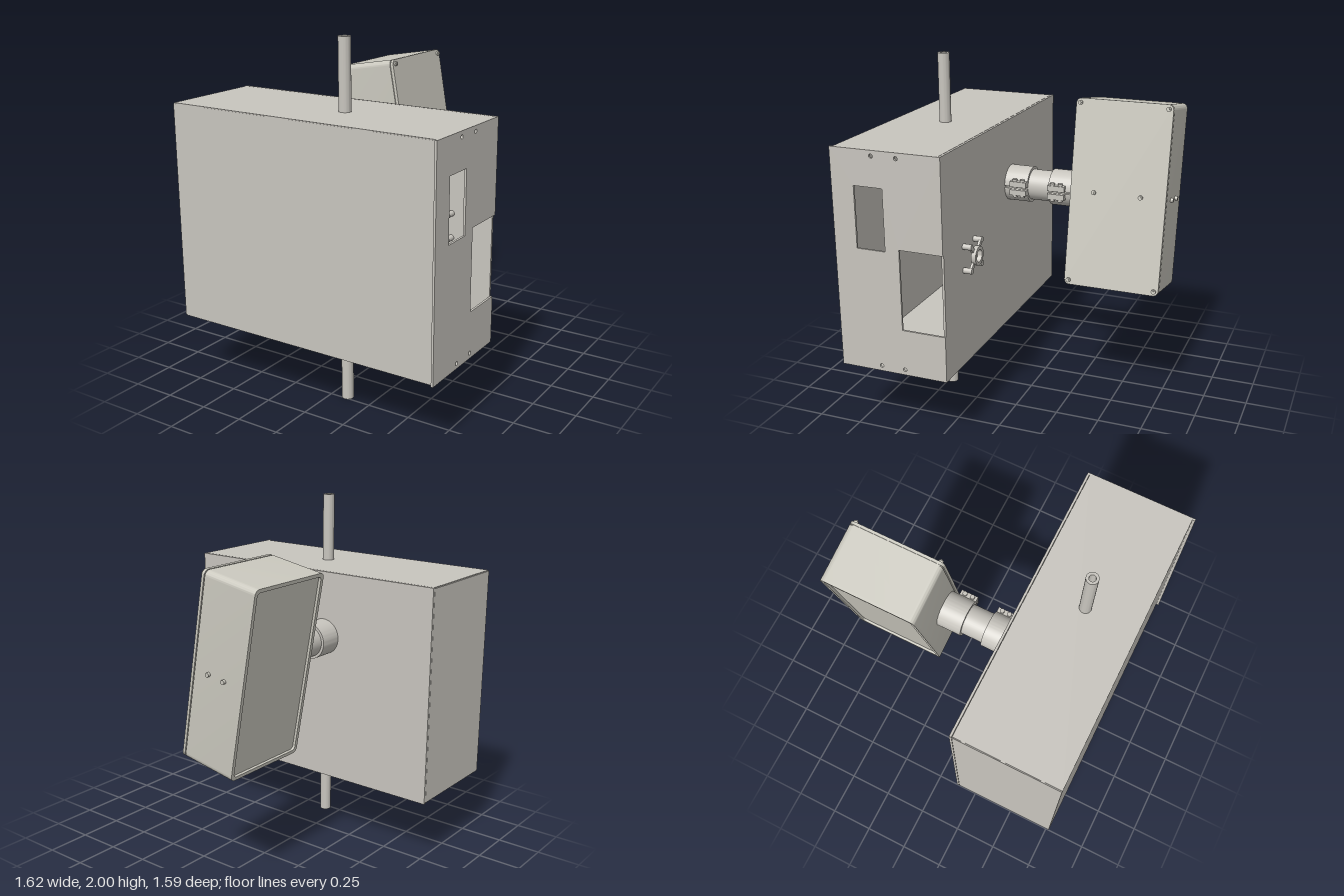
import * as THREE from 'three';
import { toCreasedNormals } from 'three/addons/utils/BufferGeometryUtils.js';

const paint = (name, color) => {
  const m = new THREE.MeshStandardMaterial({ color });
  m.name = name;
  return m;
};

export function createModel() {
  const model = new THREE.Group();
  model.name = 'poleMountedEnclosure';
  const shellGrey = paint('shellGrey', 0xc8c5be);
  const boxGrey = paint('boxGrey', 0xcac8be);

  const add = (parent, name, geo, mat, x = 0, y = 0, z = 0) => {
    const m = new THREE.Mesh(geo, mat);
    m.name = name;
    m.position.set(x, y, z);
    parent.add(m);
    return m;
  };
  // Box given by its limits
  const slab = (parent, name, mat, x0, x1, y0, y1, z0, z1) =>
    add(parent, name, new THREE.BoxGeometry(x1 - x0, y1 - y0, z1 - z0), mat,
      (x0 + x1) / 2, (y0 + y1) / 2, (z0 + z1) / 2);
  // Extrudes a (-z, y) outline along +x
  const alongX = (shape, depth) => toCreasedNormals(
    new THREE.ExtrudeGeometry(shape, { depth, bevelEnabled: false, curveSegments: 8 })
      .rotateY(Math.PI / 2), 0.6);
  const cylX = (r, len, n = 16) => new THREE.CylinderGeometry(r, r, len, n).rotateZ(Math.PI / 2);
  const cylZ = (r, len, n = 16) => new THREE.CylinderGeometry(r, r, len, n).rotateX(Math.PI / 2);
  // Hollow tube around y
  const tube = (ri, ro, len, n = 40) => toCreasedNormals(new THREE.LatheGeometry(
    [[ri, -len / 2], [ro, -len / 2], [ro, len / 2], [ri, len / 2], [ri, -len / 2]]
      .map(([a, b]) => new THREE.Vector2(a, b)), n), 0.6);
  const circle = (x, y, r) => new THREE.Path().absarc(x, y, r, 0, Math.PI * 2, true);
  const roundRect = (Type, w, h, r) => {
    const s = new Type(), a = w / 2 - r, b = h / 2 - r, q = Math.PI / 2;
    s.absarc(a, b, r, 0, q, false);
    s.absarc(-a, b, r, q, 2 * q, false);
    s.absarc(-a, -b, r, 2 * q, 3 * q, false);
    s.absarc(a, -b, r, 3 * q, 4 * q, false);
    s.closePath();
    return s;
  };

  // Hollow sheet-metal cabinet
  const cabinet = new THREE.Group();
  cabinet.name = 'cabinet';
  model.add(cabinet);
  slab(cabinet, 'frontPanel', shellGrey, -0.8, 0.8, 0.395, 1.61, 0.763, 0.775);
  slab(cabinet, 'rightWall', shellGrey, -0.81, -0.8, 0.395, 1.61, 0.18, 0.774);
  slab(cabinet, 'topWall', shellGrey, -0.805, 0.8, 1.605, 1.615, 0.18, 0.774);
  slab(cabinet, 'bottomWall', shellGrey, -0.805, 0.8, 0.39, 0.4, 0.18, 0.774);
  slab(cabinet, 'backPanel', shellGrey, -0.81, 0.8, 0.39, 1.615, 0.165, 0.178);

  // Side wall with a window, a notch open to the back, and screw holes
  const side = new THREE.Shape([
    [-0.79, 0.39], [-0.165, 0.39], [-0.165, 0.65], [-0.415, 0.65],
    [-0.415, 1.1], [-0.165, 1.1], [-0.165, 1.615], [-0.79, 1.615],
  ].map(([a, b]) => new THREE.Vector2(a, b)));
  side.holes.push(new THREE.Path([
    [-0.66, 1.08], [-0.66, 1.42], [-0.495, 1.42], [-0.495, 1.08],
  ].map(([a, b]) => new THREE.Vector2(a, b))));
  for (const z of [0.55, 0.41]) for (const y of [0.42, 1.585]) side.holes.push(circle(-z, y, 0.011));
  add(cabinet, 'leftWall', alongX(side, 0.012), shellGrey, 0.798);

  // Vertical pole
  add(model, 'pole', tube(0.018, 0.033, 2), shellGrey, 0.097, 1, 0.478);

  // Four-footed fitting on both faces of the back panel
  const fitting = new THREE.Group();
  fitting.name = 'crossFitting';
  fitting.position.set(0.498, 1.003, 0.1715);
  model.add(fitting);
  for (const s of [-1, 1]) {
    add(fitting, 'fittingRing', tube(0.034, 0.053, 0.026, 28).rotateX(Math.PI / 2), shellGrey, 0, 0, s * 0.055);
    for (let i = 0; i < 4; i++) {
      const a = Math.PI / 4 + i * Math.PI / 2, c = Math.cos(a), d = Math.sin(a);
      const arm = add(fitting, 'fittingArm', new THREE.BoxGeometry(0.055, 0.024, 0.014), shellGrey,
        c * 0.075, d * 0.075, s * 0.047);
      arm.rotation.z = a;
      add(fitting, 'fittingFoot', cylZ(0.016, 0.05), shellGrey, c * 0.095, d * 0.095, s * 0.031);
    }
  }

  // Horizontal arm with two clamp collars
  const arm = new THREE.Group();
  arm.name = 'supportArm';
  arm.position.set(-0.105, 1.24, 0);
  model.add(arm);
  add(arm, 'armPipe', cylZ(0.087, 0.4, 48), shellGrey, 0, 0, -0.037);
  for (const [z0, z1, e0, e1] of [[0.028, 0.165, 0.028, 0.125], [-0.24, -0.098, -0.2, -0.1]]) {
    // Collar split at the clamp side
    const c = new THREE.Shape(), g = 0.06;
    c.absarc(0, 0, 0.102, g, Math.PI * 2 - g, false);
    c.absarc(0, 0, 0.084, Math.PI * 2 - g, g, true);
    c.closePath();
    add(arm, 'clampCollar', toCreasedNormals(new THREE.ExtrudeGeometry(c,
      { depth: z1 - z0, bevelEnabled: false, curveSegments: 40 }), 0.6), shellGrey, 0, 0, z0);
    for (const s of [-1, 1]) {
      slab(arm, 'clampEar', shellGrey, 0.08, 0.124, s * 0.024 - 0.016, s * 0.024 + 0.016, e0, e1);
      for (const t of [0.27, 0.73]) {
        add(arm, 'clampScrew', new THREE.CylinderGeometry(0.013, 0.013, 0.012, 16), shellGrey,
          0.108, s * 0.046, e0 + (e1 - e0) * t);
      }
    }
  }

  // Tilted rear box: local x is its thickness, lid on +x
  const box = new THREE.Group();
  box.name = 'rearBox';
  box.position.set(-0.145, 1.23, -0.51);
  box.rotation.z = THREE.MathUtils.degToRad(10);
  model.add(box);
  const W = 0.54, H = 1.04, half = 0.1725;
  const rim = roundRect(THREE.Shape, W, H, 0.03);
  rim.holes.push(roundRect(THREE.Path, W - 0.04, H - 0.04, 0.02));
  add(box, 'boxRim', alongX(rim, 0.015), boxGrey, -half);
  add(box, 'boxBody', alongX(roundRect(THREE.Shape, W, H, 0.03), 0.308), boxGrey, -half + 0.015);
  add(box, 'lidSeam', alongX(roundRect(THREE.Shape, W - 0.012, H - 0.012, 0.025), 0.006), boxGrey, half - 0.022);
  add(box, 'lid', alongX(roundRect(THREE.Shape, W, H, 0.03), 0.016), boxGrey, half - 0.016);

  // Lid screws: four corners and two in the middle
  const lidScrew = (y, z) => {
    add(box, 'lidScrewHead', cylX(0.013, 0.014), boxGrey, half + 0.004, y, z);
    add(box, 'lidScrewTip', cylX(0.007, 0.006, 6), boxGrey, half + 0.013, y, z);
  };
  for (const y of [-0.495, 0.495]) for (const z of [-0.245, 0.245]) lidScrew(y, z);
  for (const z of [-0.13, 0.135]) lidScrew(0.01, z);

  // Two screws on the back face
  for (const x of [-0.05, 0.055]) {
    add(box, 'backScrew', cylZ(0.012, 0.02), boxGrey, x, 0, -W / 2 - 0.006);
  }
  return model;
}
